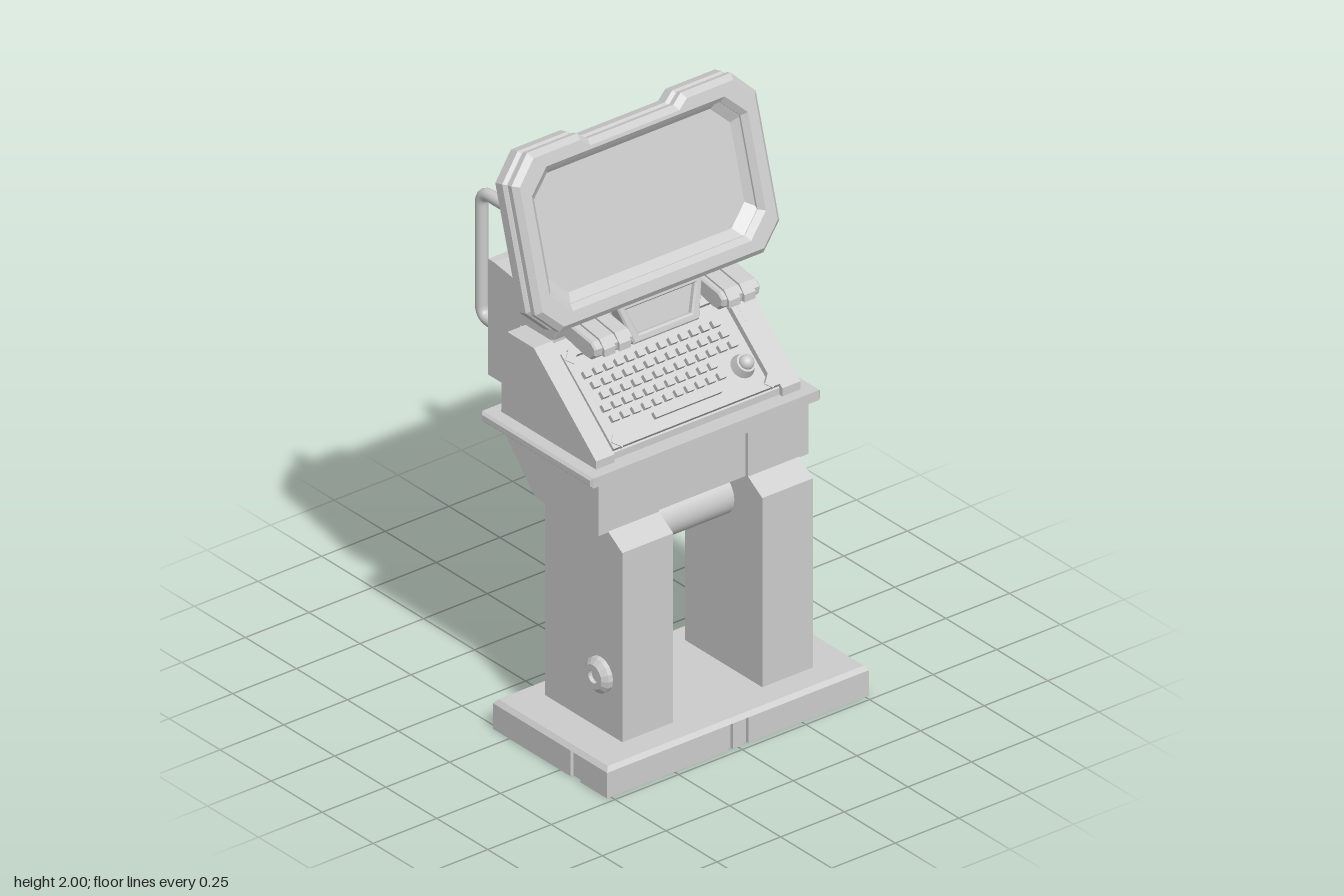
import * as THREE from 'three';

const flat = new THREE.MeshStandardMaterial({ color: 0xcccccc, flatShading: true, side: THREE.DoubleSide });
const smooth = new THREE.MeshStandardMaterial({ color: 0xcccccc });

const toShape = (pts) => new THREE.Shape(pts.map(([x, y]) => new THREE.Vector2(x, y)));

function add(parent, name, geometry, x = 0, y = 0, z = 0, material = flat) {
  const mesh = new THREE.Mesh(geometry, material);
  mesh.name = name;
  mesh.position.set(x, y, z);
  parent.add(mesh);
  return mesh;
}

// Side profile of [z, y] points extruded from x0 to x1
function profileX(pts, x0, x1, bevel = 0) {
  const g = new THREE.ExtrudeGeometry(toShape(pts.map(([z, y]) => [-z, y])), {
    depth: x1 - x0 - 2 * bevel, bevelEnabled: bevel > 0, bevelSize: bevel,
    bevelOffset: -bevel, bevelThickness: bevel, bevelSegments: 1 });
  return g.rotateY(Math.PI / 2).translate(x0 + bevel, 0, 0);
}

// Front outline of [x, y] points extruded from z0 to z1, with an optional hole
function outlineZ(pts, z0, z1, hole, bevel = 0) {
  const s = toShape(pts);
  if (hole) s.holes.push(toShape(hole));
  const g = new THREE.ExtrudeGeometry(s, {
    depth: z1 - z0 - 2 * bevel, bevelEnabled: bevel > 0, bevelSize: bevel,
    bevelThickness: bevel, bevelSegments: 1 });
  return g.translate(0, 0, z0 + bevel);
}

// Sloping band between two outlines with the same number of points
function band(a, za, b, zb) {
  const pos = [];
  a.forEach((p, i) => {
    const j = (i + 1) % a.length;
    const A = [...p, za], B = [...a[j], za], C = [...b[j], zb], D = [...b[i], zb];
    pos.push(...A, ...C, ...B, ...A, ...D, ...C);
  });
  const g = new THREE.BufferGeometry();
  g.setAttribute('position', new THREE.Float32BufferAttribute(pos, 3));
  g.computeVertexNormals();
  return g;
}

const rect = (w, y0, y1) => [[-w, y0], [w, y0], [w, y1], [-w, y1]];
const octagon = (w, y0, y1, c) => [[c - w, y0], [w - c, y0], [w, y0 + c], [w, y1 - c],
  [w - c, y1], [c - w, y1], [-w, y1 - c], [-w, y0 + c]];

function buildBase(root) {
  // Notched slab with a chamfered cap
  const n = 0.012;
  const half = [[0.02, 0.48], [0.02, 0.48 - n], [0.04, 0.48 - n], [0.04, 0.48], [0.515, 0.48],
    [0.515, 0.35], [0.515 - n, 0.35], [0.515 - n, 0.3], [0.515, 0.3], [0.515, -0.08]];
  const foot = [...half, ...half.map(([x, z]) => [-x, z]).reverse()].map(([x, z]) => [x, -z]);
  add(root, 'base', outlineZ(foot, 0, 0.09).rotateX(-Math.PI / 2));
  const cap = new THREE.BoxGeometry(1.03, 0.015, 0.56);
  const p = cap.attributes.position;
  for (let i = 0; i < p.count; i++) {
    if (p.getY(i) > 0) p.setXYZ(i, p.getX(i) * 0.976, p.getY(i), p.getZ(i) * 0.957);
  }
  add(root, 'baseCap', cap, 0, 0.0975, 0.2);
}

function buildLegs(root) {
  const leg = [[0, 0.1], [0.38, 0.1], [0.38, 0.77], [0.31, 0.815], [0, 0.815]];
  const knob = [[0, 0.02], [0.022, 0.02], [0.022, 0.034], [0.042, 0.034], [0.06, 0.018], [0.06, 0]]
    .map(([r, h]) => new THREE.Vector2(r, h));
  for (const s of [-1, 1]) {
    add(root, 'leg', profileX(leg, s > 0 ? 0.175 : -0.375, s > 0 ? 0.375 : -0.175));
    const k = add(root, 'legKnob', new THREE.LatheGeometry(knob, 16), s * 0.373, 0.3, 0.275);
    k.rotation.z = -s * Math.PI / 2;
  }
  add(root, 'crossBar', new THREE.CylinderGeometry(0.073, 0.073, 0.36, 28).rotateZ(Math.PI / 2),
    0, 0.703, 0.17, smooth);
}

function buildConsole(root) {
  // Tapered housing below the shelf with a recessed front centre
  const housing = (front) => [[0, 0.812], [front, 0.812], [front, 1], [-0.175, 1]];
  add(root, 'lowerHousing', profileX(housing(0.298), -0.175, 0.175));
  add(root, 'lowerHousingSide', profileX(housing(0.31), 0.175, 0.412));
  add(root, 'lowerHousingSide', profileX(housing(0.31), -0.412, -0.175));
  add(root, 'lowerHousingLip', new THREE.BoxGeometry(0.35, 0.03, 0.012), 0, 0.985, 0.304);
  add(root, 'shelf', profileX([[0.325, 0.997], [0.325, 1.032], [-0.22, 1.032], [-0.22, 0.997]], -0.452, 0.452, 0.008));

  // Sloping desk between two cheeks
  add(root, 'desk', profileX([[0.27, 1.03], [0.27, 1.055], [-0.03, 1.308], [-0.18, 1.308], [-0.18, 1.03]], -0.33, 0.33));
  const cheek = [[0.285, 1.03], [0.285, 1.06], [-0.02, 1.325], [-0.15, 1.325], [-0.175, 1.3], [-0.18, 1.03]];
  add(root, 'cheek', profileX(cheek, 0.33, 0.402));
  add(root, 'cheek', profileX(cheek, -0.402, -0.33));

  // Keyboard lying on the slope
  const kb = new THREE.Group();
  kb.name = 'keyboard';
  kb.position.set(0, 1.18, 0.145);
  kb.rotation.x = -0.865;
  root.add(kb);
  add(kb, 'keyboardFrame', outlineZ(rect(0.327, -0.17, 0.17), -0.025, 0.006, rect(0.305, -0.15, 0.15)));
  for (const s of [-1, 1]) for (const v of [-0.15, 0.15]) {
    add(kb, 'frameCorner', new THREE.BoxGeometry(0.04, 0.03, 0.014), s * 0.3, v, 0.002).rotation.z = s * Math.sign(v) * -0.78;
  }
  [0.085, 0.045, 0.005, -0.035, -0.075].forEach((v, row) => {
    const count = row < 3 ? 13 : 11;
    for (let i = 0; i < count; i++) {
      add(kb, 'key', new THREE.BoxGeometry(0.028, 0.022, 0.018), -0.27 + (row % 3) * 0.01 + i * 0.042, v, -0.008);
    }
  });
  add(kb, 'spaceBar', new THREE.BoxGeometry(0.26, 0.02, 0.018), 0, -0.115, -0.008);
  add(kb, 'trackballRing', new THREE.CylinderGeometry(0.032, 0.042, 0.035, 20).rotateX(Math.PI / 2), 0.25, -0.07, -0.002);
  add(kb, 'trackball', new THREE.SphereGeometry(0.025, 20, 12), 0.25, -0.07, 0.015, smooth);
}

function buildRearUnit(root) {
  // Rear box, with a recessed back panel
  add(root, 'rearBox', profileX([[-0.31, 1.065], [-0.18, 1.065], [-0.03, 1.3], [-0.03, 1.429], [-0.31, 1.472]], -0.325, 0.325));
  add(root, 'rearFrame', outlineZ(rect(0.325, 1.065, 1.472), -0.34, -0.31, rect(0.205, 1.11, 1.385)));

  // Forward arms holding the display
  const arm = [[-0.1, 1.3], [-0.02, 1.325], [0, 1.365], [0.13, 1.335], [0.16, 1.335], [0.183, 1.355],
    [0.186, 1.38], [0.165, 1.398], [-0.1, 1.439]];
  const clip = [[0.06, 1.36], [0.195, 1.35], [0.195, 1.375], [0.17, 1.404], [0.06, 1.421]];
  for (const s of [-1, 1]) {
    add(root, 'arm', profileX(arm, s > 0 ? 0.175 : -0.325, s > 0 ? 0.325 : -0.175, 0.006));
    for (const c of [0.215, 0.275]) add(root, 'armClip', profileX(clip, s * c - 0.022, s * c + 0.022));
  }
  add(root, 'displayHinge', new THREE.BoxGeometry(0.36, 0.07, 0.12), 0, 1.39, 0.0);

  // U-shaped handles with rounded corners
  const v = (y, z) => new THREE.Vector3(0, y, z);
  const corners = [v(1.44, -0.205), v(1.637, -0.205), v(1.637, -0.457), v(1.197, -0.457), v(1.197, -0.33)];
  const path = new THREE.CurvePath();
  let last = corners[0];
  for (let i = 1; i < 4; i++) {
    const a = corners[i].clone().add(corners[i - 1].clone().sub(corners[i]).setLength(0.045));
    const b = corners[i].clone().add(corners[i + 1].clone().sub(corners[i]).setLength(0.045));
    path.add(new THREE.LineCurve3(last, a));
    path.add(new THREE.QuadraticBezierCurve3(a, corners[i], b));
    last = b;
  }
  path.add(new THREE.LineCurve3(last, corners[4]));
  for (const s of [-1, 1]) {
    add(root, 'handle', new THREE.TubeGeometry(path, 90, 0.021, 14), s * 0.257, 0, 0, smooth);
    add(root, 'handleCollar', new THREE.CylinderGeometry(0.026, 0.026, 0.03, 16), s * 0.257, 1.462, -0.205);
    add(root, 'handleCollar', new THREE.CylinderGeometry(0.026, 0.026, 0.03, 16).rotateX(Math.PI / 2), s * 0.257, 1.197, -0.348);
  }
}

function buildDisplay(root) {
  const d = new THREE.Group();
  d.name = 'display';
  d.position.set(0, 1.44, 0.122);
  d.rotation.x = -0.279;
  root.add(d);

  // Eight-sided casing with a shallow dip in the top edge, inset by e
  const casing = (e) => [[-0.4 + e * 0.4, e], [0.4 - e * 0.4, e], [0.48 - e, 0.08 + e * 0.4], [0.48 - e, 0.5 - e * 0.4],
    [0.4 - e * 0.4, 0.583 - e], [0.21, 0.583 - e], [0.175, 0.555 - e], [-0.175, 0.555 - e], [-0.21, 0.583 - e],
    [-0.4 + e * 0.4, 0.583 - e], [-0.48 + e, 0.5 - e * 0.4], [-0.48 + e, 0.08 + e * 0.4]];
  const opening = octagon(0.425, 0.055, 0.525, 0.075);
  const screen = octagon(0.385, 0.1, 0.488, 0.065);
  add(d, 'displayBezel', outlineZ(casing(0.018), -0.055, 0, opening, 0.018));
  add(d, 'displayBack', outlineZ(casing(0.01), -0.11, -0.055, null, 0.01));
  add(d, 'screenSlope', band(octagon(0.415, 0.068, 0.515, 0.073), -0.018, screen, -0.048));
  add(d, 'screen', new THREE.ShapeGeometry(toShape(screen)), 0, 0, -0.048);

  // Trapezoid control panel hanging below the display
  const trapezoid = (e) => [[-0.13 + e, -0.13 + e], [0.13 - e, -0.13 + e], [0.172 - e * 1.3, 0.012 - e], [-0.172 + e * 1.3, 0.012 - e]];
  add(d, 'lowerPanelFrame', outlineZ(trapezoid(0.006), -0.085, -0.025, trapezoid(0.022), 0.006));
  add(d, 'lowerPanelFace', outlineZ(trapezoid(0.012), -0.105, -0.045));
}

export function createModel() {
  const root = new THREE.Group();
  root.name = 'consoleTerminal';
  buildBase(root);
  buildLegs(root);
  buildConsole(root);
  buildRearUnit(root);
  buildDisplay(root);
  return root;
}
